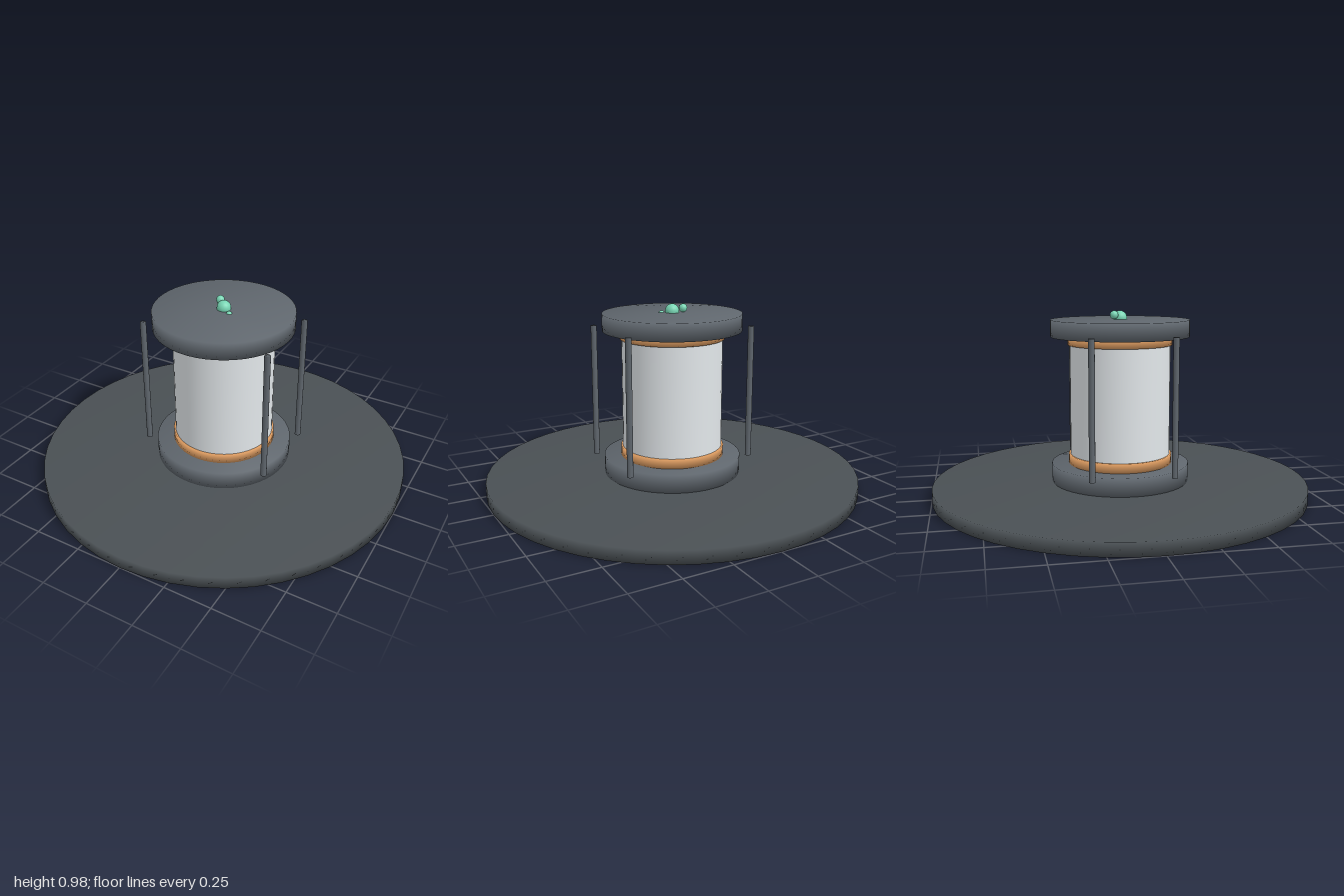
import * as THREE from 'three';
import { mergeVertices } from 'three/addons/utils/BufferGeometryUtils.js';

const material = (color) => new THREE.MeshStandardMaterial({ color });

// Shares vertices across edges so the shading rolls softly over the rims
function soften(geometry) {
  geometry.deleteAttribute('normal');
  geometry.deleteAttribute('uv');
  const welded = mergeVertices(geometry, 1e-4);
  welded.computeVertexNormals();
  return welded;
}

export function createModel() {
  const model = new THREE.Group();
  const dark = material(0x4a5054);
  const slate = material(0x5f666d);
  const copper = material(0xd9995f);
  const glass = material(0xe2e7ea);
  glass.side = THREE.DoubleSide;
  const mint = material(0x78d6b4);

  function add(name, geometry, mat, x, y, z) {
    const mesh = new THREE.Mesh(geometry, mat);
    mesh.name = name;
    mesh.position.set(x, y, z);
    model.add(mesh);
  }

  // Upright disc or tube between two heights
  function drum(name, radius, y0, y1, mat, { x = 0, z = 0, sides = 48, open = false } = {}) {
    const geometry = new THREE.CylinderGeometry(radius, radius, y1 - y0, sides, 1, open);
    add(name, soften(geometry), mat, x, (y0 + y1) / 2, z);
  }

  // Wide foot plate and the two end caps
  drum('basePlate', 1, 0, 0.067, dark);
  drum('lowerCap', 0.368, 0.067, 0.163, slate);
  drum('upperCap', 0.368, 0.84, 0.93, slate);

  // Glass chamber with a copper ring at each end
  drum('glassChamber', 0.267, 0.163, 0.84, glass, { open: true });
  drum('lowerRing', 0.277, 0.163, 0.213, copper);
  drum('upperRing', 0.277, 0.797, 0.842, copper);

  // Four rods standing around the chamber
  for (const x of [-0.356, 0.356]) {
    for (const z of [-0.211, 0.211]) {
      drum('rod', 0.016, 0.15, 0.86, slate, { x, z, sides: 12 });
    }
  }

  // Cluster of beads on top
  const beads = [
    [0.037, 0, 0.939, 0],
    [0.022, -0.043, 0.956, -0.04],
    [0.016, 0.047, 0.924, 0.03],
  ];
  for (const [radius, x, y, z] of beads) {
    add('bead', new THREE.SphereGeometry(radius, 20, 14), mint, x, y, z);
  }

  return model;
}
